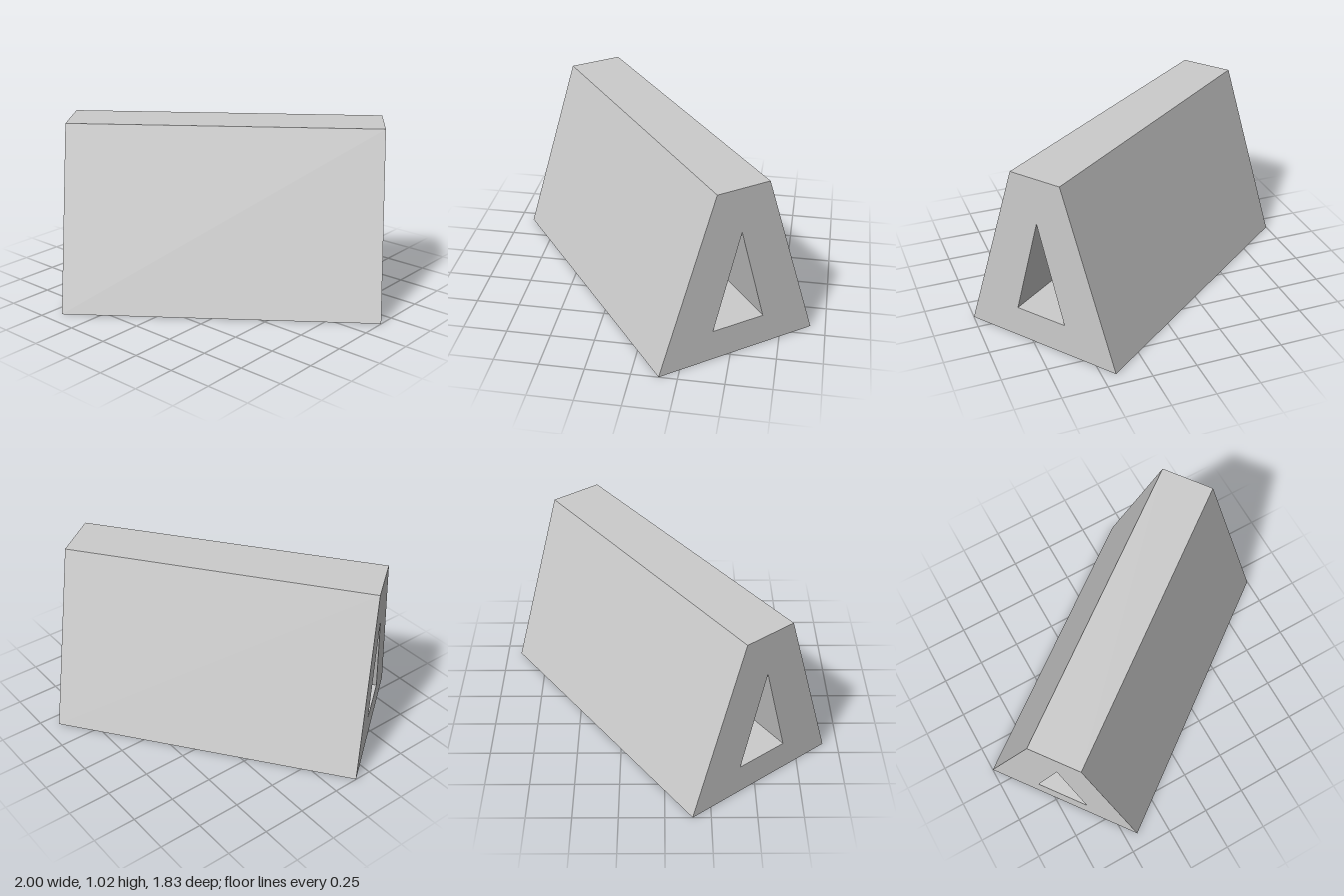
import * as THREE from 'three';

export function createModel() {
  const group = new THREE.Group();
  const length = 1.78;

  // Trapezoid cross-section with a triangular tunnel
  const section = new THREE.Shape([
    [-0.479, 0], [0.479, 0], [0.154, 1.02], [-0.154, 1.02],
  ].map(([x, y]) => new THREE.Vector2(x, y)));
  section.holes.push(new THREE.Path([
    [-0.155, 0.185], [0, 0.76], [0.155, 0.185],
  ].map(([x, y]) => new THREE.Vector2(x, y))));

  const geometry = new THREE.ExtrudeGeometry(section, { depth: length, bevelEnabled: false });
  geometry.translate(0, 0, -length / 2);

  // Block lies diagonally across the ground
  const block = new THREE.Mesh(geometry, new THREE.MeshStandardMaterial({ color: 0xcccccc, flatShading: true }));
  block.name = 'taperedBlock';
  block.rotation.y = Math.atan2(1.43, -1.07);
  group.add(block);
  return group;
}
